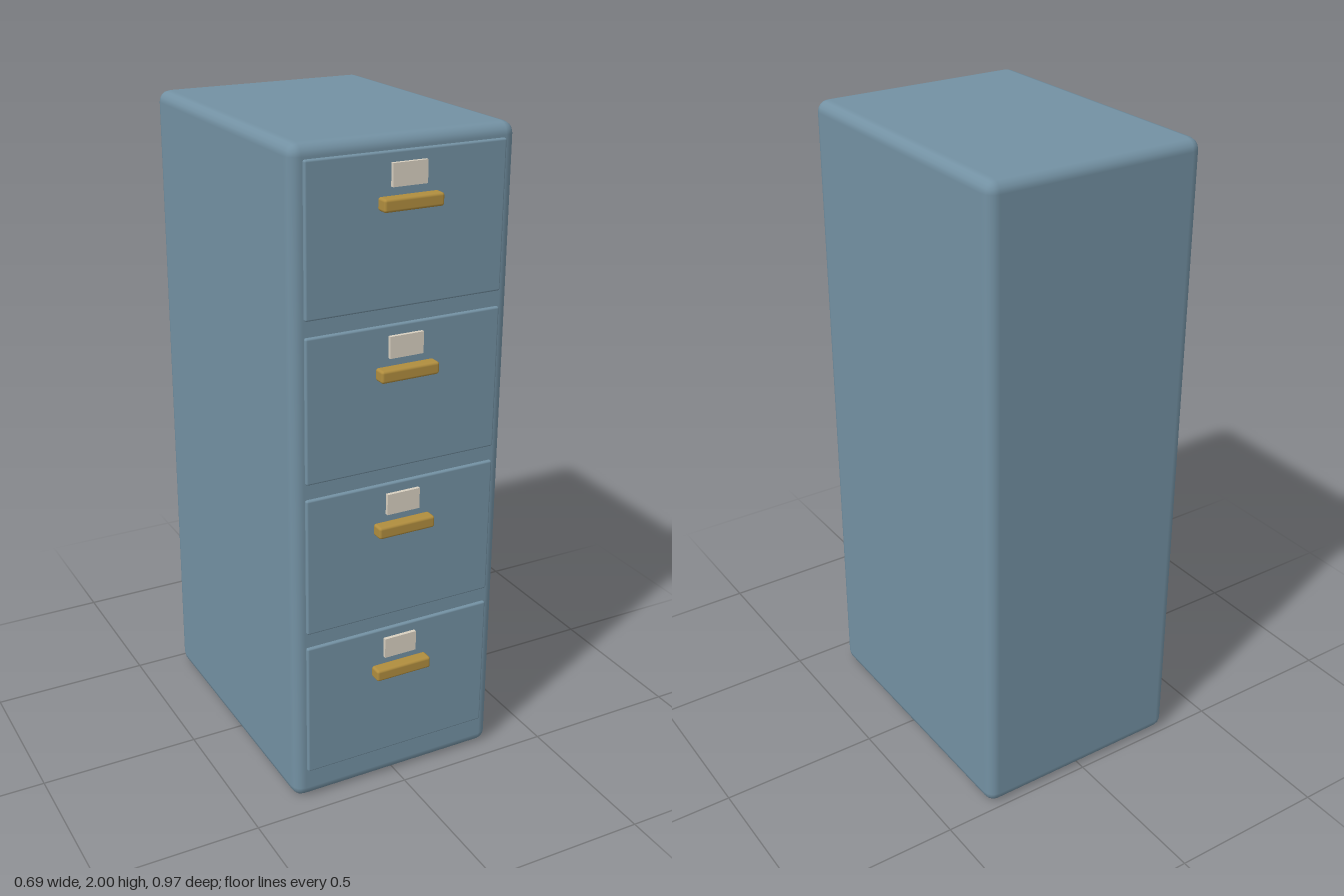
import * as THREE from 'three';
import { RoundedBoxGeometry } from 'three/addons/geometries/RoundedBoxGeometry.js';

const paint = new THREE.MeshStandardMaterial({ color: 0x7391a3 });
const brass = new THREE.MeshStandardMaterial({ color: 0xb08d3e });
const paper = new THREE.MeshStandardMaterial({ color: 0xd8cfc0 });

// Box spanning the depth range z0..z1, with optionally rounded edges
function block(name, material, width, height, z0, z1, y, radius = 0) {
  const depth = z1 - z0;
  const geometry = radius
    ? new RoundedBoxGeometry(width, height, depth, 2, radius)
    : new THREE.BoxGeometry(width, height, depth);
  const mesh = new THREE.Mesh(geometry, material);
  mesh.name = name;
  mesh.position.set(0, y, (z0 + z1) / 2);
  return mesh;
}

export function createModel() {
  const cabinet = new THREE.Group();
  cabinet.name = 'filingCabinet';

  // Case
  cabinet.add(block('case', paint, 0.69, 2, -0.484, 0.437, 1, 0.035));

  // Four identical drawers, each with a front panel, label and pull
  for (let i = 0; i < 4; i++) {
    const drawer = new THREE.Group();
    drawer.name = `drawer${i + 1}`;
    drawer.position.y = 0.313 + i * 0.477;
    drawer.add(
      block('drawerFront', paint, 0.613, 0.43, 0.41, 0.447, 0, 0.006),
      block('labelCard', paper, 0.106, 0.064, 0.437, 0.458, 0.153),
      block('handle', brass, 0.184, 0.037, 0.443, 0.484, 0.079, 0.008)
    );
    cabinet.add(drawer);
  }
  return cabinet;
}
